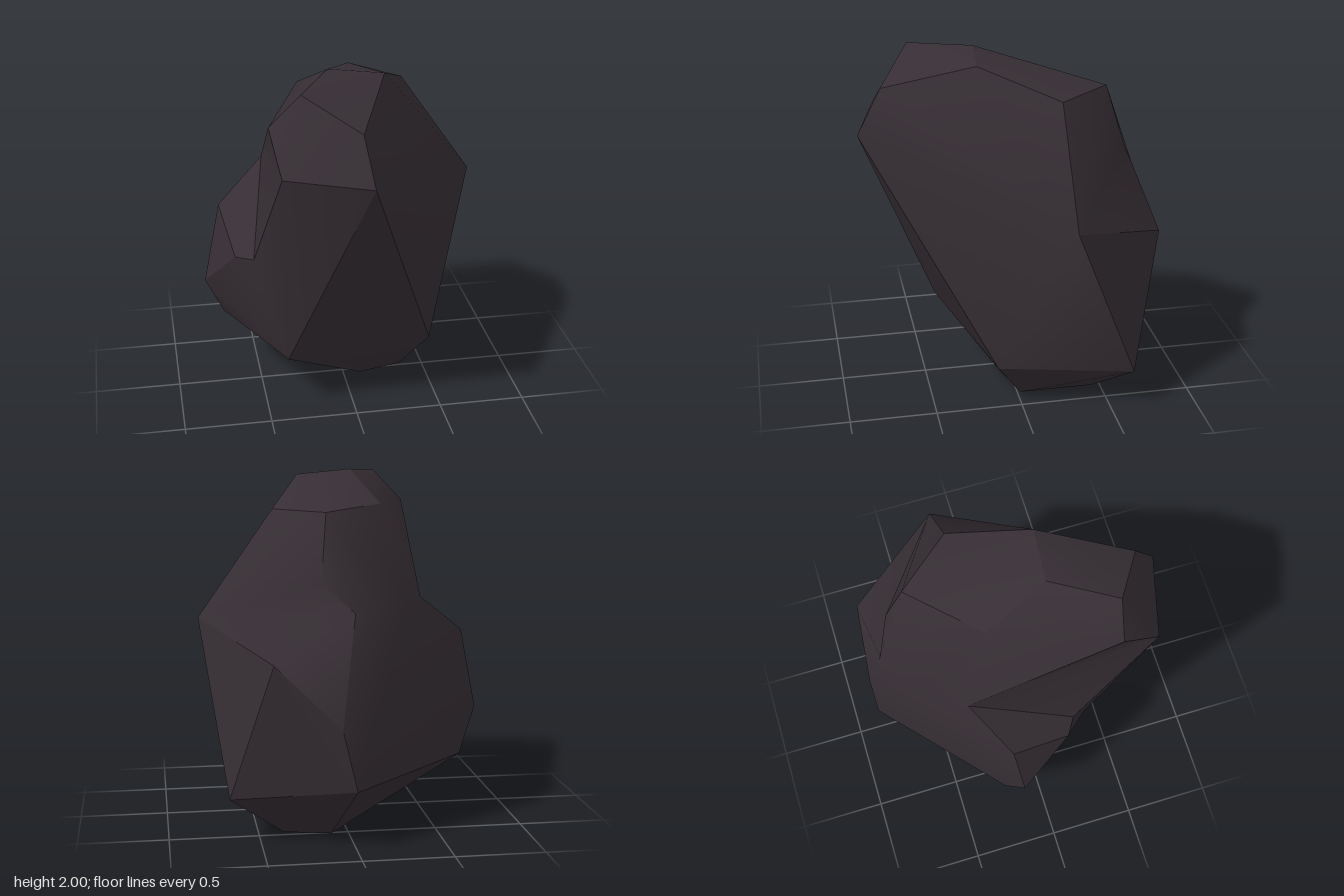
import * as THREE from 'three';

// Corner points of the boulder
const P = {
  // crown
  crownFront: [-0.31, 1.98, 0.52], crownPeak: [-0.11, 2.0, 0.17], crownRidge: [0.2, 1.97, 0.2],
  crownSide: [0.39, 1.8, -0.24], crownBack: [0.13, 1.8, -0.55], crownLow: [-0.23, 1.82, -0.19],
  // brow
  browTop: [-0.01, 1.81, 0.71], browTip: [0.03, 1.555, 0.85],
  browEdge: [-0.44, 1.59, 0.72], browRear: [-0.48, 1.8, 0.49],
  // notch and shoulder
  notch: [-0.43, 1.31, -0.36], stepIn: [-0.55, 0.91, 0.23], stepOut: [-0.65, 0.91, 0.17],
  stepRear: [-0.71, 1.09, -0.18], bulge: [-0.81, 0.62, -0.14], bulgeLow: [-0.7, 0.36, -0.23],
  // back
  backHigh: [0.17, 1.43, -0.66], backMid: [0, 1.28, -0.75], backSide: [-0.3, 1.31, -0.62],
  backCorner: [0.44, 1.02, -0.8], backOut: [0.08, 0.67, -0.85], backLow: [0, 0.33, -0.85],
  // flank
  flank: [0.81, 1.2, -0.24], flankRear: [0.67, 0.25, -0.62], flankFront: [0.51, 0.26, 0.14],
  frontLow: [-0.38, 0.33, 0.38],
  // foot
  foot1: [0.1, 0.01, 0.06], foot2: [0.36, 0, -0.02], foot3: [0.36, 0, -0.45],
  foot4: [0.1, 0.005, -0.53], foot5: [-0.05, 0.01, -0.2],
};

// Facets: each lists its polygons, fanned from the first corner;
// normals are smooth inside a facet and sharp between facets
const FACETS = {
  crownFacet: ['crownBack crownSide crownRidge crownPeak crownLow'],
  crownFrontFacet: ['crownRidge crownPeak crownFront browTop'],
  browFacet: ['browEdge browTip browTop crownFront browRear'],
  rightFacet: ['flank flankRear flankFront browTip browTop crownRidge crownSide'],
  frontFacet: ['browTip frontLow flankFront', 'frontLow foot1 foot2 flankFront'],
  frontLeftFacet: ['frontLow browTip browEdge stepIn stepOut bulge bulgeLow'],
  notchWall: ['notch browRear browEdge stepIn'],
  notchLedge: ['notch stepIn stepOut stepRear'],
  bulgeFacet: ['stepRear stepOut bulge'],
  backLeftFacet: [
    'crownLow crownPeak crownFront browRear', 'crownLow browRear notch backSide crownBack',
    'crownBack backHigh backMid backSide', 'notch stepRear backSide', 'stepRear bulge backSide',
    'bulge bulgeLow backLow backSide', 'backSide backLow backOut backMid',
  ],
  backRightFacet: [
    'flank crownSide crownBack backHigh backMid backCorner', 'backMid backCorner backOut',
  ],
  backChip: ['backCorner backOut backLow'],
  rearTriangle: ['backCorner backLow flankRear'],
  flankTriangle: ['flank backCorner flankRear'],
  underRight: ['foot2 foot3 flankRear flankFront'],
  underRear: ['flankRear foot3 foot4 backLow'],
  underFront: ['frontLow bulgeLow foot5 foot1'],
  underLeft: ['bulgeLow backLow foot4 foot5'],
  base: ['foot1 foot2 foot3 foot4 foot5'],
};

// Fans the polygons of one facet into triangles that face away from the middle
function facetGeometry(polygons) {
  const names = [...new Set(polygons.join(' ').split(' '))];
  const point = (n) => new THREE.Vector3(...P[n]);
  const middle = new THREE.Vector3(0, 0.95, 0);
  const index = [];
  for (const polygon of polygons) {
    const c = polygon.split(' ');
    for (let i = 1; i < c.length - 1; i++) {
      const tri = [c[0], c[i], c[i + 1]];
      const t = new THREE.Triangle(...tri.map(point));
      const out = t.getMidpoint(new THREE.Vector3()).sub(middle);
      if (t.getNormal(new THREE.Vector3()).dot(out) < 0) tri.reverse();
      index.push(...tri.map((n) => names.indexOf(n)));
    }
  }
  const g = new THREE.BufferGeometry();
  g.setAttribute('position', new THREE.Float32BufferAttribute(names.flatMap((n) => P[n]), 3));
  g.setIndex(index);
  g.computeVertexNormals();
  return g;
}

export function createModel() {
  const stone = new THREE.MeshStandardMaterial({ color: 0x362e34 });
  stone.name = 'darkStone';
  const boulder = new THREE.Group();
  boulder.name = 'boulder';
  for (const [name, polygons] of Object.entries(FACETS)) {
    const mesh = new THREE.Mesh(facetGeometry(polygons), stone);
    mesh.name = name;
    boulder.add(mesh);
  }
  return boulder;
}
